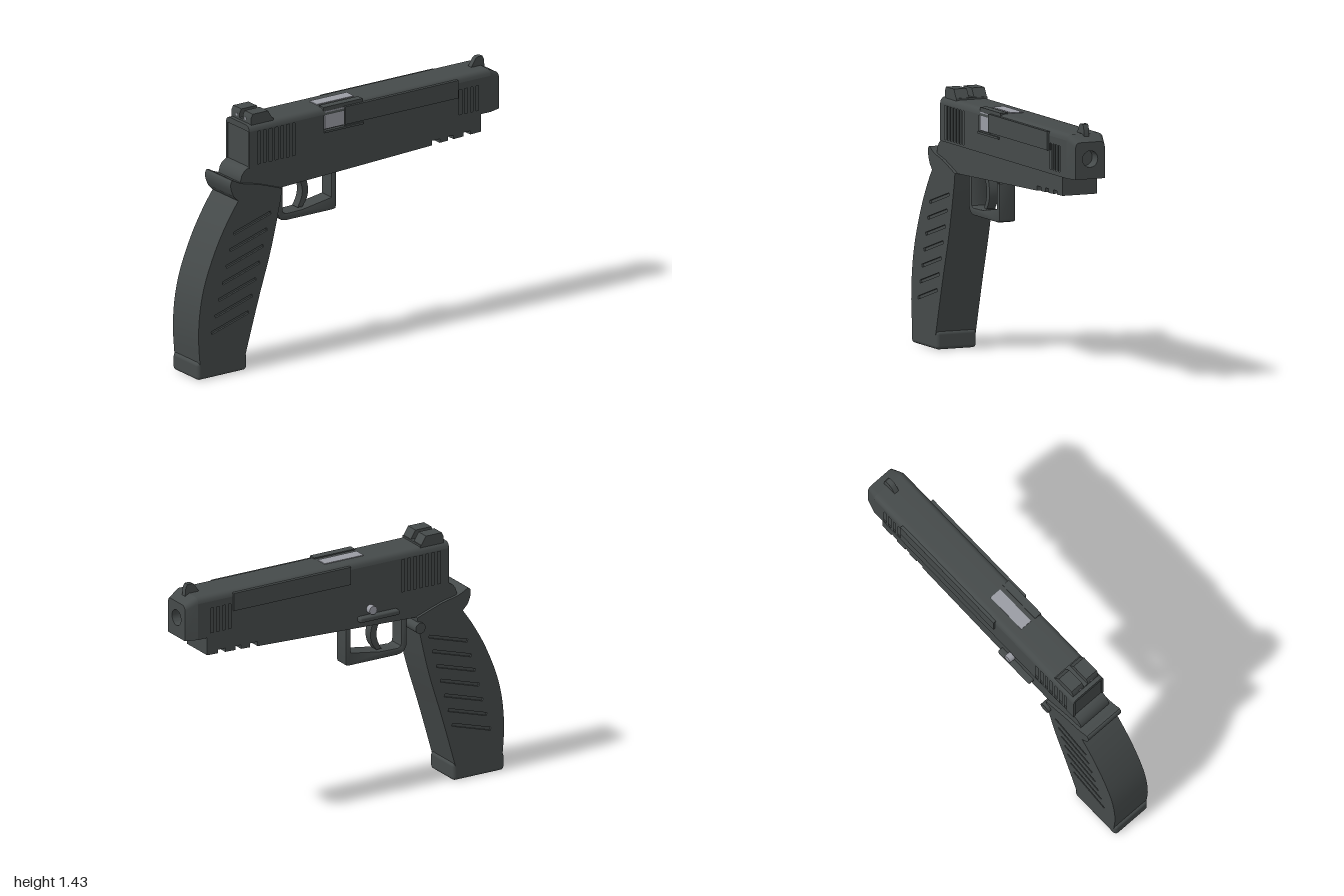
import * as THREE from 'three';
import { toCreasedNormals } from 'three/addons/utils/BufferGeometryUtils.js';
import { RoundedBoxGeometry } from 'three/addons/geometries/RoundedBoxGeometry.js';

const gunmetal = new THREE.MeshStandardMaterial({ color: 0x454a4a });
gunmetal.name = 'gunmetal';
const steel = new THREE.MeshStandardMaterial({ color: 0x9a9ca4 });
steel.name = 'steel';

const vec = (pts) => pts.map(([x, y]) => new THREE.Vector2(x, y));
const mirror = (half) => [...half, ...half.map(([x, y]) => [-x, y]).reverse()];

function outline(pts, holes = []) {
  const s = new THREE.Shape(vec(pts));
  holes.forEach((h) => s.holes.push(new THREE.Path(vec(h))));
  return s;
}

const rect = (x0, x1, y0, y1) => [[x0, y0], [x0, y1], [x1, y1], [x1, y0]];

// slanted slot between two points
function slot([ax, ay], [bx, by], w) {
  const l = Math.hypot(bx - ax, by - ay);
  const nx = (-(by - ay) / l) * w / 2, ny = ((bx - ax) / l) * w / 2;
  return [[ax - nx, ay - ny], [ax + nx, ay + ny], [bx + nx, by + ny], [bx - nx, by - ny]];
}

// smooth open curve sampled to points
const curve = (pts, n) =>
  new THREE.SplineCurve(vec(pts)).getPoints(n).map((p) => [p.x, p.y]);

export function createModel() {
  const gun = new THREE.Group();
  gun.name = 'pistol';
  const body = new THREE.Group();
  body.name = 'body';
  body.position.z = 0.0125;
  gun.add(body);

  function add(name, geo, mat = gunmetal) {
    const m = new THREE.Mesh(geo, mat);
    m.name = name;
    body.add(m);
    return m;
  }
  // side profile extruded across z
  function slab(name, shape, z0, z1, mat, bevel = 0) {
    const g = new THREE.ExtrudeGeometry(shape, {
      depth: z1 - z0 - 2 * bevel, bevelEnabled: bevel > 0, bevelSize: bevel,
      bevelOffset: -bevel, bevelThickness: bevel, bevelSegments: 2, curveSegments: 16,
    });
    g.translate(0, 0, z0 + bevel);
    return add(name, toCreasedNormals(g, 0.6), mat);
  }
  // cross-section extruded along x
  function beam(shape, x0, x1) {
    const g = new THREE.ExtrudeGeometry(shape, { depth: x1 - x0, bevelEnabled: false, curveSegments: 16 });
    g.rotateY(Math.PI / 2);
    g.translate(x0, 0, 0);
    return g;
  }
  function box(name, x0, x1, y0, y1, z0, z1, mat, r = 0) {
    const s = [x1 - x0, y1 - y0, z1 - z0];
    const g = r ? new RoundedBoxGeometry(...s, 3, r) : new THREE.BoxGeometry(...s);
    g.translate((x0 + x1) / 2, (y0 + y1) / 2, (z0 + z1) / 2);
    return add(name, g, mat);
  }
  function pin(name, x, y, z0, z1, r, mat) {
    const g = new THREE.CylinderGeometry(r, r, z1 - z0, 24);
    g.rotateX(Math.PI / 2);
    g.translate(x, y, (z0 + z1) / 2);
    return add(name, g, mat);
  }

  // slide: narrow core, rounded cap and slotted side skins
  const W = 0.108, C = 0.096, B = 1.137, T = 1.375, S = 1.342;
  const crown = [[W, S], [0.105, 1.356], [0.097, 1.368], [0.085, 1.374], [0.075, T]];
  add('slideCore', beam(outline(mirror([[C, B], [C, S]])), -0.65, 0.93));
  add('slideTop', toCreasedNormals(beam(outline(mirror(crown)), -0.655, 0.93), 0.6));
  const serrations = [];
  for (let i = 0; i < 7; i++) serrations.push(rect(-0.6 + i * 0.038, -0.582 + i * 0.038, 1.15, 1.335));
  for (let i = 0; i < 4; i++) serrations.push(rect(0.722 + i * 0.037, 0.74 + i * 0.037, 1.162, 1.303));
  const side = rect(-0.655, 0.93, B, S);
  slab('slideSideRight', outline(side, [...serrations, rect(-0.165, -0.032, 1.252, 1.338)]), C, W);
  slab('slideSideLeft', outline(side, serrations), -W, -C);

  // tapered nose with the bore
  const boreY = 1.245;
  const face = outline(mirror([[W, B], ...crown]));
  face.holes.push(new THREE.Path().absarc(0, boreY, 0.045, 0, Math.PI * 2, true));
  const nose = beam(face, 0.93, 1);
  const p = nose.attributes.position;
  for (let i = 0; i < p.count; i++) {
    const y = p.getY(i), z = p.getZ(i);
    if (p.getX(i) > 0.95 && Math.hypot(y - boreY, z) > 0.05) {
      p.setY(i, B + (y - B) * 0.84);
      p.setZ(i, z * 0.8);
    }
  }
  add('slideNose', toCreasedNormals(nose, 0.5));

  // ejection port and side panels
  box('barrelHood', -0.157, -0.03, 1.258, 1.358, 0.06, 0.106, steel);
  box('barrelTop', -0.16, 0.085, 1.36, 1.379, -0.035, 0.035, steel);
  box('portLip', -0.165, 0.092, 1.24, 1.252, 0.09, 0.117);
  box('portBrow', -0.165, 0.092, 1.36, 1.382, 0.06, 0.104);
  box('panelRight', -0.03, 0.71, 1.262, 1.363, 0.08, 0.119);
  box('panelLeft', -0.03, 0.71, 1.262, 1.363, -0.119, -0.08);

  // sights
  const rear = [[-0.632, 1.37], [-0.632, 1.408], [-0.62, 1.432], [-0.52, 1.432], [-0.482, 1.37]];
  slab('rearSightRight', outline(rear), 0.015, 0.091);
  slab('rearSightLeft', outline(rear), -0.091, -0.015);
  box('rearSightBase', -0.632, -0.485, 1.365, 1.385, -0.091, 0.091);
  for (const z of [-0.04, 0.04]) {
    const dot = new THREE.CylinderGeometry(0.008, 0.008, 0.004, 12);
    dot.rotateZ(Math.PI / 2);
    dot.translate(-0.632, 1.397, z);
    add('sightDot', dot, steel);
  }
  slab('frontSight', outline([[0.865, 1.37], [0.88, 1.395], [0.897, 1.42], [0.91, 1.427],
    [0.94, 1.427], [0.95, 1.41], [0.955, 1.36]]), -0.015, 0.015);

  // frame with accessory rail notches
  slab('frame', outline([
    [0.87, 1.14], [0.87, 1.035], [0.8, 1.033], [0.8, 1.053], [0.755, 1.053], [0.755, 1.031],
    [0.69, 1.029], [0.69, 1.051], [0.655, 1.051], [0.655, 1.028], [0.6, 1.026], [0.6, 1.048],
    [0.55, 1.048], [0.55, 1.022], [-0.43, 0.984], [-0.55, 0.985], [-0.7, 1.04],
    [-0.708, 1.07], [-0.7, 1.1], [-0.685, 1.122], [-0.655, 1.14],
  ]), -0.102, 0.102);

  // grip: solid core and grooved side skins, tang at the top
  const G = 0.119;
  const gripPts = [
    ...curve([[-0.985, 0.08], [-0.996, 0.25], [-0.982, 0.42], [-0.945, 0.57], [-0.875, 0.74],
      [-0.8, 0.875], [-0.735, 0.97]], 20),
    ...curve([[-0.765, 1.0], [-0.783, 1.045], [-0.783, 1.08], [-0.768, 1.092], [-0.735, 1.075],
      [-0.69, 1.058], [-0.6, 1.038], [-0.448, 0.985]], 20),
    ...curve([[-0.455, 0.93], [-0.518, 0.66], [-0.604, 0.38], [-0.69, 0.08]], 10),
  ].reverse();
  const grooves = [];
  for (let i = 0; i < 7; i++) {
    const x = -0.765 - i * 0.0243, y = 0.79 - i * 0.0893;
    grooves.push(slot([x, y], [x + 0.243, y + 0.073], 0.017));
  }
  slab('gripCore', outline(gripPts), -0.108, 0.108);
  slab('gripSideRight', outline(gripPts, grooves), 0.108, G);
  slab('gripSideLeft', outline(gripPts, grooves), -G, -0.108);
  box('magazineBase', -1, -0.675, 0, 0.1, -G, G, gunmetal, 0.02);

  // trigger guard and trigger
  slab('triggerGuard', outline([
    [-0.425, 0.978], [-0.425, 0.81], [-0.414, 0.785], [-0.395, 0.771], [-0.365, 0.766],
    [-0.06, 0.766], [-0.045, 0.771], [-0.04, 0.786], [-0.04, 0.978], [-0.072, 0.978],
    [-0.072, 0.838], [-0.26, 0.808], [-0.37, 0.805], [-0.388, 0.815], [-0.392, 0.835], [-0.392, 0.978],
  ]), -0.048, 0.048, gunmetal, 0.006);
  slab('trigger', outline([
    ...curve([[-0.285, 0.985], [-0.257, 0.95], [-0.248, 0.9], [-0.258, 0.855], [-0.28, 0.815]], 10),
    ...curve([[-0.25, 0.812], [-0.222, 0.85], [-0.21, 0.9], [-0.218, 0.95], [-0.235, 0.995]], 10),
  ]), -0.025, 0.025);

  // controls on the left side
  pin('magazineRelease', -0.457, 0.93, -0.138, 0.02, 0.031);
  box('slideStop', -0.33, -0.08, 1.032, 1.062, -0.134, -0.09, gunmetal, 0.01);
  pin('slideStopPin', -0.16, 1.093, -0.136, -0.09, 0.024, steel);

  return gun;
}
